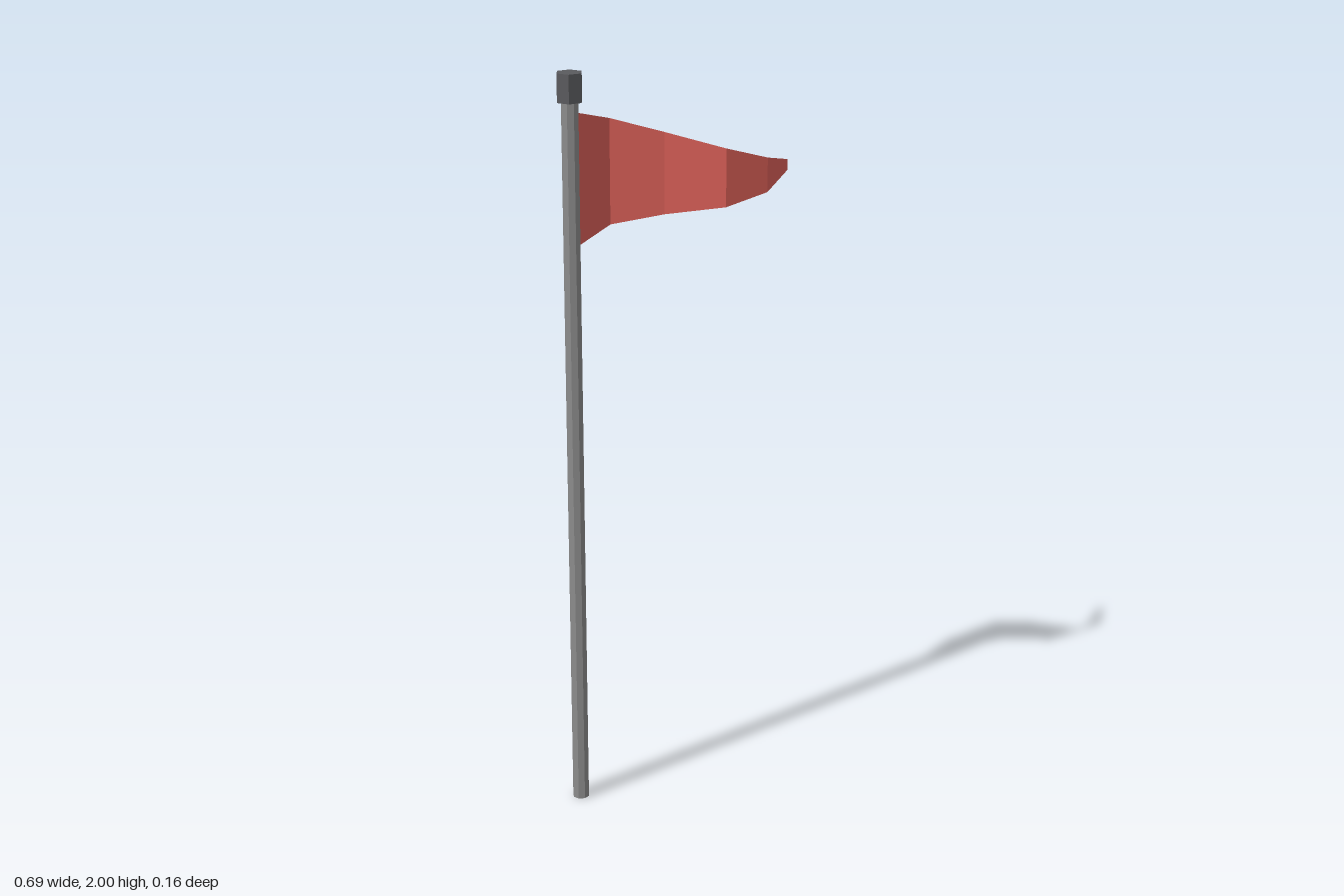
import * as THREE from 'three';

const POLE_X = -0.3125, POLE_Z = 0.006;

function material(color, side = THREE.FrontSide) {
  return new THREE.MeshStandardMaterial({ color, side, flatShading: true });
}

// Upright prism standing on the pole axis
function prism(name, radius, y0, y1, sides, turn, color) {
  const geometry = new THREE.CylinderGeometry(radius, radius, y1 - y0, sides);
  geometry.rotateY(turn);
  const mesh = new THREE.Mesh(geometry, material(color));
  mesh.position.set(POLE_X, (y0 + y1) / 2, POLE_Z);
  mesh.name = name;
  return mesh;
}

// Tapering cloth: a plane bent along its length by a row of z offsets
function pennant() {
  const wave = [-0.016, -0.08, -0.018, 0.082, 0.082, -0.016];
  const segments = wave.length - 1;
  const geometry = new THREE.PlaneGeometry(1, 1, segments, 1);
  const p = geometry.attributes.position;
  for (let i = 0; i < p.count; i++) {
    const t = p.getX(i) + 0.5;
    const x = THREE.MathUtils.lerp(-0.28, 0.345, t);
    const y = p.getY(i) > 0
      ? THREE.MathUtils.lerp(1.892, 1.703, t)
      : THREE.MathUtils.lerp(1.552, 1.674, t);
    p.setXYZ(i, x, y, wave[Math.round(t * segments)]);
  }
  geometry.computeVertexNormals();
  const mesh = new THREE.Mesh(geometry, material(0xd95f57, THREE.DoubleSide));
  mesh.name = 'pennant';
  return mesh;
}

export function createModel() {
  const group = new THREE.Group();
  group.name = 'flagpole';
  group.add(
    prism('pole', 0.0225, 0, 1.93, 8, 0, 0x8c8c8c),
    prism('poleCap', 0.035, 1.927, 2, 6, Math.PI / 6, 0x5a5b5e),
    pennant()
  );
  return group;
}
